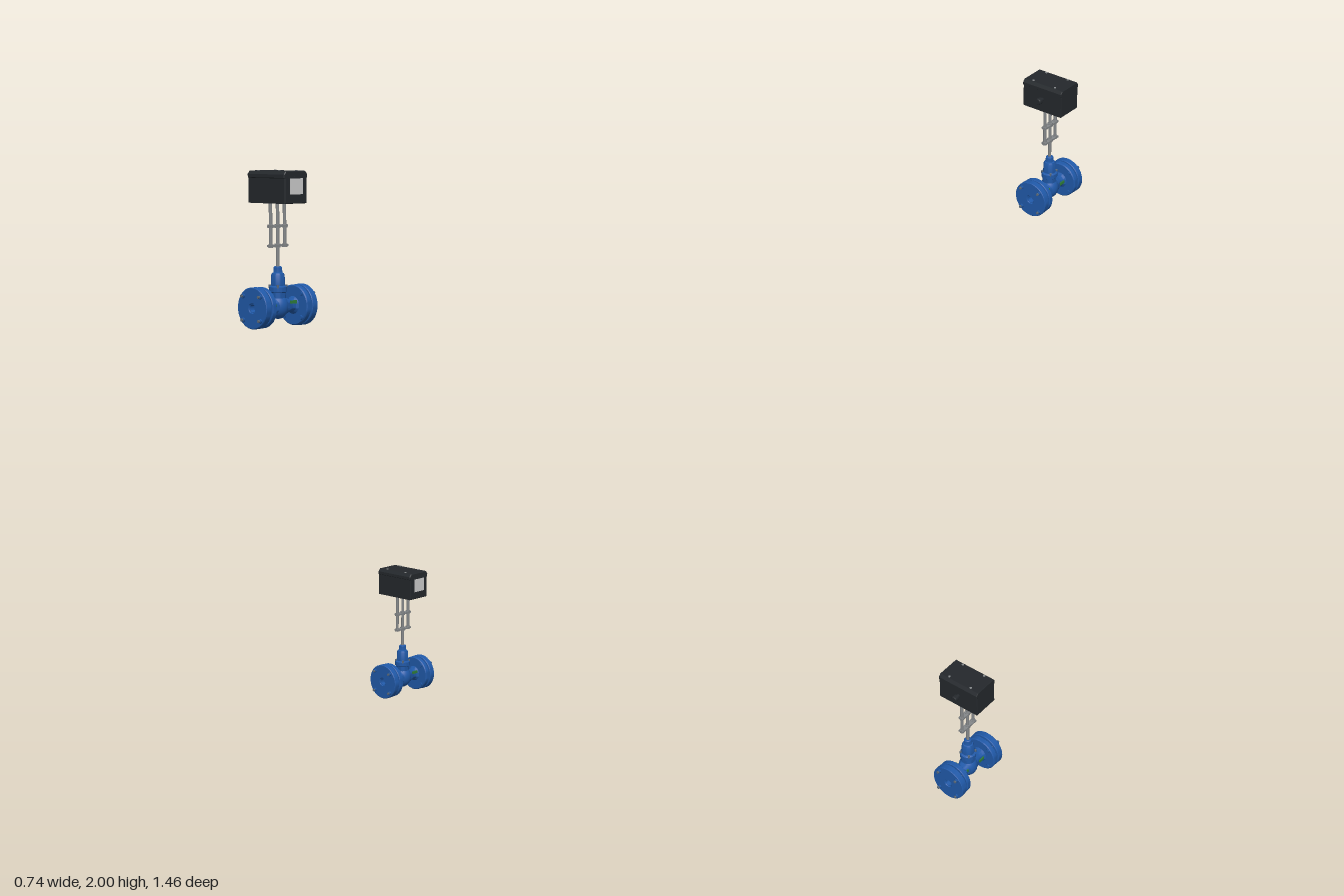
import * as THREE from 'three';
import { toCreasedNormals } from 'three/addons/utils/BufferGeometryUtils.js';

const mat = (color) => new THREE.MeshStandardMaterial({ color });
const blue = mat(0x2059a8), dark = mat(0x24282c), steel = mat(0x85888a);
const boltMat = mat(0x5c6b7c), green = mat(0x2f7d3a), pale = mat(0xc8cccc);

function add(parent, name, geometry, material, x = 0, y = 0, z = 0) {
  const mesh = new THREE.Mesh(geometry, material);
  mesh.name = name;
  mesh.position.set(x, y, z);
  parent.add(mesh);
  return mesh;
}

function lathe(points, sides = 32) {
  const g = new THREE.LatheGeometry(points.map(([r, y]) => new THREE.Vector2(r, y)), sides);
  return toCreasedNormals(g, 0.6);
}

const rod = (r, h, n = 12) => new THREE.CylinderGeometry(r, r, h, n);

const AXIS = 0.064; // height of the pipe axis

// One half of the pipe run, built along +y and then laid along z
function pipeEnd() {
  const end = new THREE.Group();
  end.name = 'pipeEnd';
  add(end, 'bodyNeck', lathe([
    [0.03, 0], [0.025, 0.03], [0.019, 0.046], [0.021, 0.058], [0.03, 0.066],
  ]), blue);
  add(end, 'bodyFlange', lathe([
    [0, 0.064], [0.06, 0.064], [0.063, 0.067], [0.063, 0.081], [0.061, 0.083], [0.045, 0.083], [0.045, 0.087], [0, 0.087],
  ], 40), blue);
  add(end, 'counterFlange', lathe([
    [0.045, 0.087], [0.062, 0.088], [0.064, 0.09], [0.064, 0.109], [0.062, 0.111],
    [0.016, 0.111], [0.014, 0.108], [0.012, 0.108], [0.012, 0.09], [0, 0.09],
  ], 40), blue);
  // Four flange bolts with nuts
  for (let i = 0; i < 4; i++) {
    const a = Math.PI / 4 + i * Math.PI / 2;
    const x = 0.052 * Math.cos(a), z = 0.052 * Math.sin(a);
    add(end, 'flangeBolt', rod(0.0045, 0.062), boltMat, x, 0.091, z);
    add(end, 'flangeNut', rod(0.0075, 0.006, 6), blue, x, 0.114, z);
    add(end, 'boltHead', rod(0.0075, 0.005, 6), blue, x, 0.062, z);
  }
  return end;
}

function valveBody() {
  const body = new THREE.Group();
  body.name = 'valveBody';
  const globe = add(body, 'globe', new THREE.SphereGeometry(0.034, 32, 20), blue, 0, AXIS, 0);
  globe.scale.set(0.95, 1.15, 0.95);
  for (const s of [1, -1]) {
    const end = pipeEnd();
    end.rotation.x = s * Math.PI / 2;
    end.position.y = AXIS;
    body.add(end);
    // Coloured marker plates on both cheeks of each neck
    for (const side of [1, -1]) {
      add(body, 'markerPlate', new THREE.BoxGeometry(0.004, 0.01, 0.026), green, side * 0.024, AXIS + 0.008 - s * 0.004, s * 0.043);
    }
  }
  // Bonnet with gland
  add(body, 'bonnet', lathe([
    [0.024, 0.08], [0.024, 0.106], [0.028, 0.109], [0.028, 0.124], [0.022, 0.128],
    [0.021, 0.16], [0.018, 0.166], [0.014, 0.168], [0.013, 0.184], [0.01, 0.187], [0, 0.187],
  ]), blue);
  for (let i = 0; i < 4; i++) {
    const a = Math.PI / 4 + i * Math.PI / 2;
    add(body, 'bonnetBolt', rod(0.004, 0.01, 6), boltMat, 0.025 * Math.cos(a), 0.126, 0.025 * Math.sin(a));
  }
  return body;
}

// Stem and the two pillars that carry the drive
function yoke() {
  const g = new THREE.Group();
  g.name = 'yoke';
  add(g, 'stem', rod(0.0055, 0.2), steel, 0, 0.285, 0);
  for (const s of [1, -1]) add(g, 'pillar', rod(0.0055, 0.138), steel, 0, 0.317, s * 0.03);
  for (const y of [0.25, 0.31]) {
    add(g, 'crossPlate', new THREE.BoxGeometry(0.018, 0.006, 0.074), steel, 0, y, 0);
    add(g, 'stemCollar', rod(0.0095, 0.012), steel, 0, y, 0);
    for (const s of [1, -1]) add(g, 'pillarNut', rod(0.009, 0.01, 6), steel, 0, y, s * 0.03);
  }
  return g;
}

function actuator() {
  const g = new THREE.Group();
  g.name = 'actuator';
  // Housing with bevelled lid, cross-section extruded along x
  const s = new THREE.Shape([
    [-0.047, 0.38], [0.047, 0.38], [0.047, 0.456], [0.05, 0.458], [0.05, 0.468], [0.042, 0.478],
    [-0.042, 0.478], [-0.05, 0.468], [-0.05, 0.458], [-0.047, 0.456],
  ].map(([z, y]) => new THREE.Vector2(z, y)));
  const b = 0.002;
  const housing = new THREE.ExtrudeGeometry(s, {
    depth: 0.156, bevelEnabled: true, bevelSize: b, bevelOffset: -b, bevelThickness: b, bevelSegments: 1,
  });
  housing.translate(0, 0, -0.078).rotateY(Math.PI / 2);
  add(g, 'housing', housing, dark);
  // Display on the left end
  add(g, 'displayFrame', new THREE.BoxGeometry(0.004, 0.062, 0.07), dark, 0.08, 0.43, 0);
  add(g, 'display', new THREE.BoxGeometry(0.004, 0.048, 0.054), pale, 0.0815, 0.432, 0);
  // Lid screws
  for (const x of [0.045, -0.045]) for (const z of [0.036, -0.036]) {
    add(g, 'lidScrew', rod(0.004, 0.004), steel, x, 0.478, z);
  }
  // Cable gland at the back
  const gland = add(g, 'cableGland', lathe([
    [0.007, 0], [0.007, 0.011], [0.011, 0.011], [0.011, 0.023], [0.008, 0.026], [0, 0.026],
  ], 16), dark, 0, 0.426, -0.046);
  gland.rotation.x = -Math.PI / 2;
  return g;
}

export function createModel() {
  const model = new THREE.Group();
  model.name = 'controlValves';
  const spots = [[0.286, 1.52, 0.608, 'upperValve'], [-0.286, 0, -0.608, 'lowerValve']];
  for (const [x, y, z, name] of spots) {
    const valve = new THREE.Group();
    valve.name = name;
    valve.add(valveBody(), yoke(), actuator());
    valve.position.set(x, y, z);
    model.add(valve);
  }
  return model;
}
